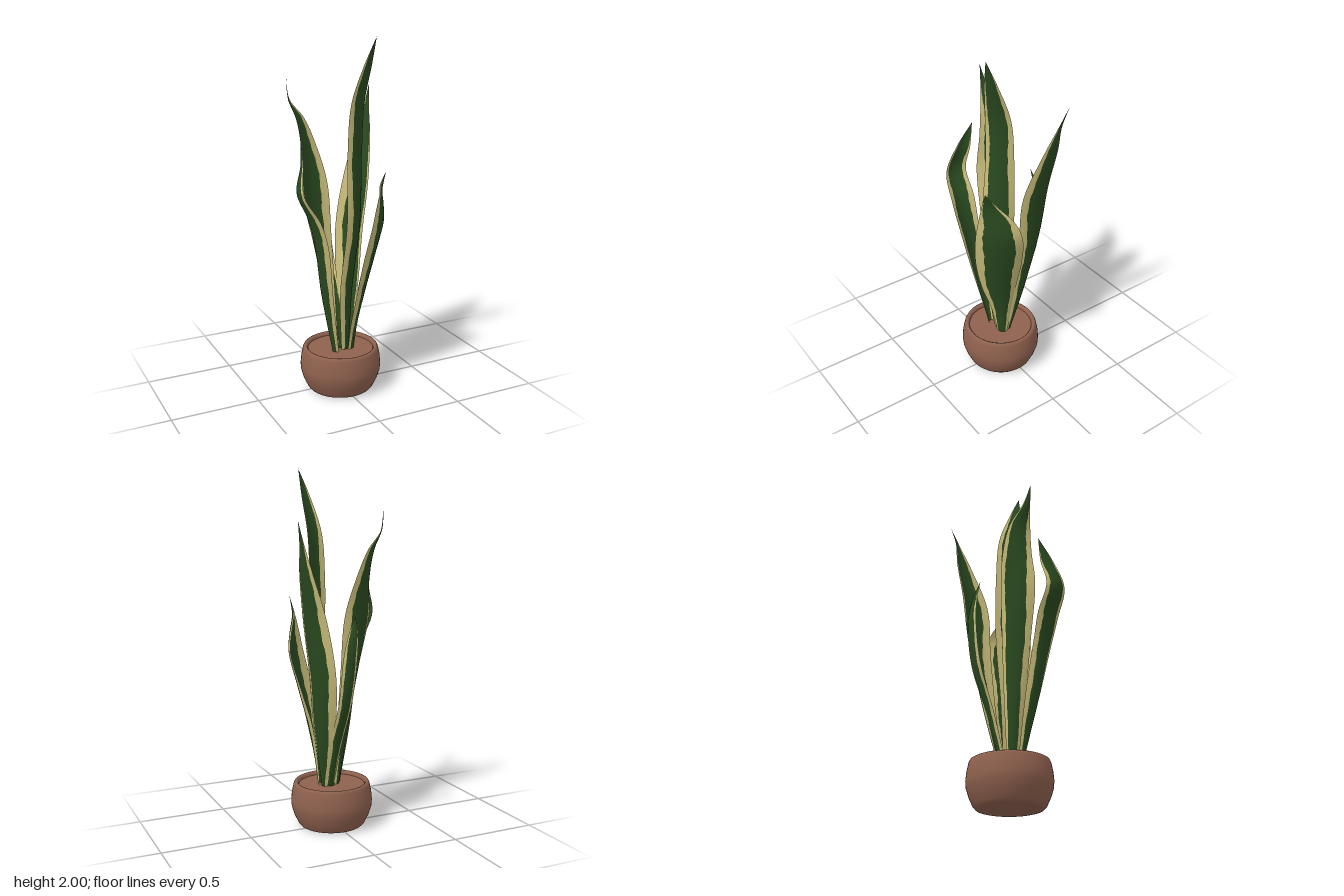
import * as THREE from 'three';

const ROWS = 48, INNER = 6, COLS = INNER + 4;

// Each station: [y, edge A x, edge A z, edge B x, edge B z]; the last one is the tip.
const LEAVES = {
  tallLeaf: [
    [0.22, -0.005, 0.05, 0.05, 0.015], [0.6, -0.038, 0.1, 0.07, 0.01], [1.0, -0.012, 0.132, 0.12, 0.012],
    [1.4, 0.0, 0.112, 0.133, 0.022], [1.65, 0.015, 0.122, 0.135, 0.045], [1.85, 0.068, 0.16, 0.135, 0.122],
    [2.0, 0.125, 0.19, 0.125, 0.19]],
  frontLeaf: [
    [0.22, 0.03, 0.06, 0.075, 0.02], [0.4, 0.03, 0.1, 0.095, 0.01], [0.6, 0.03, 0.17, 0.132, 0.0],
    [0.8, 0.045, 0.217, 0.192, 0.008], [1.0, 0.085, 0.24, 0.24, 0.042], [1.1, 0.108, 0.238, 0.22, 0.078],
    [1.2, 0.135, 0.235, 0.172, 0.155], [1.3, 0.167, 0.232, 0.167, 0.232]],
  backLeftLeaf: [
    [0.22, 0.062, 0.02, 0.05, -0.01], [0.6, 0.12, 0.01, 0.05, -0.13], [0.9, 0.15, 0.0, 0.08, -0.203],
    [1.2, 0.185, 0.0, 0.137, -0.21], [1.45, 0.237, -0.08, 0.213, -0.203], [1.6, 0.265, -0.15, 0.254, -0.187],
    [1.72, 0.292, -0.198, 0.292, -0.198]],
  backRightLeaf: [
    [0.22, -0.04, 0.04, 0.0, 0.0], [0.6, -0.11, 0.04, -0.01, -0.03], [0.9, -0.17, 0.03, -0.02, -0.05],
    [1.2, -0.23, 0.015, -0.035, -0.07], [1.4, -0.22, 0.0, -0.085, -0.1], [1.56, -0.235, -0.02, -0.155, -0.105],
    [1.67, -0.268, -0.045, -0.25, -0.08], [1.79, -0.28, -0.05, -0.28, -0.05]],
  sideLeaf: [
    [0.22, -0.03, 0.07, -0.05, 0.03], [0.6, -0.1, 0.14, -0.12, 0.03], [0.9, -0.15, 0.19, -0.17, 0.05],
    [1.05, -0.2, 0.2, -0.21, 0.05], [1.2, -0.285, 0.18, -0.272, 0.06], [1.35, -0.265, 0.125, -0.237, 0.05],
    [1.49, -0.24, 0.033, -0.24, 0.033]],
  backLeaf: [
    [0.22, 0.005, 0.0, 0.055, 0.0], [0.5, -0.008, -0.095, 0.062, -0.088], [0.75, -0.02, -0.195, 0.06, -0.195],
    [1.0, -0.03, -0.236, 0.05, -0.231], [1.12, -0.035, -0.232, 0.02, -0.227], [1.22, -0.03, -0.21, -0.03, -0.21]],
};

// Surface lofted between two edge curves, bowed outwards, with pale margins.
function leafGeometry(stations, phase) {
  const edgeA = new THREE.CatmullRomCurve3(stations.map(s => new THREE.Vector3(s[1], s[0], s[2])));
  const edgeB = new THREE.CatmullRomCurve3(stations.map(s => new THREE.Vector3(s[3], s[0], s[4])));
  // Side of the width line that faces away from the middle of the plant
  const mid = stations[Math.floor(stations.length / 2)];
  const cx = (mid[1] + mid[3]) / 2 - 0.01, cz = (mid[2] + mid[4]) / 2 - 0.03;
  const side = Math.sign((mid[4] - mid[2]) * cx - (mid[3] - mid[1]) * cz) || 1;

  const positions = [];
  for (let i = 0; i <= ROWS; i++) {
    const t = i / ROWS;
    const a = edgeA.getPoint(t), b = edgeB.getPoint(t);
    const w = b.clone().sub(a);
    const out = new THREE.Vector3(w.z, 0, -w.x).multiplyScalar(side * (0.14 + 0.2 * (1 - t) ** 3));
    const wobble = k => 0.012 * Math.sin(i * 1.9 + phase + k) + 0.02 * Math.sin(i * 0.5 + phase * 2 + k);
    const fade = 1 - t ** 5;
    const mA = (0.18 + wobble(0)) * fade, mB = (0.18 + wobble(2)) * fade;
    for (let j = 0; j <= COLS; j++) {
      let u;
      if (j < 2) u = mA * j / 2;
      else if (j > COLS - 2) u = 1 - mB * (COLS - j) / 2;
      else u = mA + (1 - mA - mB) * (j - 2) / INNER;
      const p = a.clone().addScaledVector(w, u).addScaledVector(out, 4 * u * (1 - u));
      positions.push(p.x, p.y, p.z);
    }
  }

  const green = [], margin = [];
  for (let i = 0; i < ROWS; i++) {
    for (let j = 0; j < COLS; j++) {
      const p = i * (COLS + 1) + j, q = p + COLS + 1;
      (j < 2 || j >= COLS - 2 ? margin : green).push(p, p + 1, q, p + 1, q + 1, q);
    }
  }
  const geo = new THREE.BufferGeometry();
  geo.setAttribute('position', new THREE.Float32BufferAttribute(positions, 3));
  geo.setIndex([...green, ...margin]);
  geo.addGroup(0, green.length, 0);
  geo.addGroup(green.length, margin.length, 1);
  geo.computeVertexNormals();
  return geo;
}

export function createModel() {
  const model = new THREE.Group();
  model.name = 'pottedPlant';
  const terracotta = new THREE.MeshStandardMaterial({ name: 'terracotta', color: 0x8f614e });
  const leafGreen = new THREE.MeshStandardMaterial({ name: 'leafGreen', color: 0x2a4a20, side: THREE.DoubleSide });
  const leafMargin = new THREE.MeshStandardMaterial({ name: 'leafMargin', color: 0xcabe7b, side: THREE.DoubleSide });

  // Slightly oval pot with a soft rim
  const profile = [
    [0, 0], [0.165, 0], [0.18, 0.004], [0.193, 0.018], [0.215, 0.065], [0.229, 0.11], [0.232, 0.145],
    [0.228, 0.19], [0.218, 0.238], [0.212, 0.251], [0.204, 0.255], [0.196, 0.252], [0.189, 0.242], [0.186, 0.215],
  ].map(([r, y]) => new THREE.Vector2(r, y));
  const pot = new THREE.Mesh(new THREE.LatheGeometry(profile, 48), terracotta);
  pot.name = 'pot';
  pot.position.set(0.003, 0, 0.02);
  pot.scale.z = 0.98;
  model.add(pot);

  // Soil surface inside the rim
  const soil = new THREE.Mesh(new THREE.CircleGeometry(0.188, 48), terracotta);
  soil.name = 'soil';
  soil.rotation.x = -Math.PI / 2;
  soil.position.set(0.003, 0.234, 0.02);
  model.add(soil);

  // Crown the leaves grow from
  const crown = new THREE.Mesh(new THREE.CylinderGeometry(0.03, 0.032, 0.02, 20), leafGreen);
  crown.name = 'crown';
  crown.position.set(0.022, 0.234, 0.01);
  model.add(crown);

  // Sword-shaped leaves
  const leaves = new THREE.Group();
  leaves.name = 'leaves';
  Object.entries(LEAVES).forEach(([name, stations], k) => {
    const leaf = new THREE.Mesh(leafGeometry(stations, k * 1.7), [leafGreen, leafMargin]);
    leaf.name = name;
    leaves.add(leaf);
  });
  model.add(leaves);
  return model;
}
